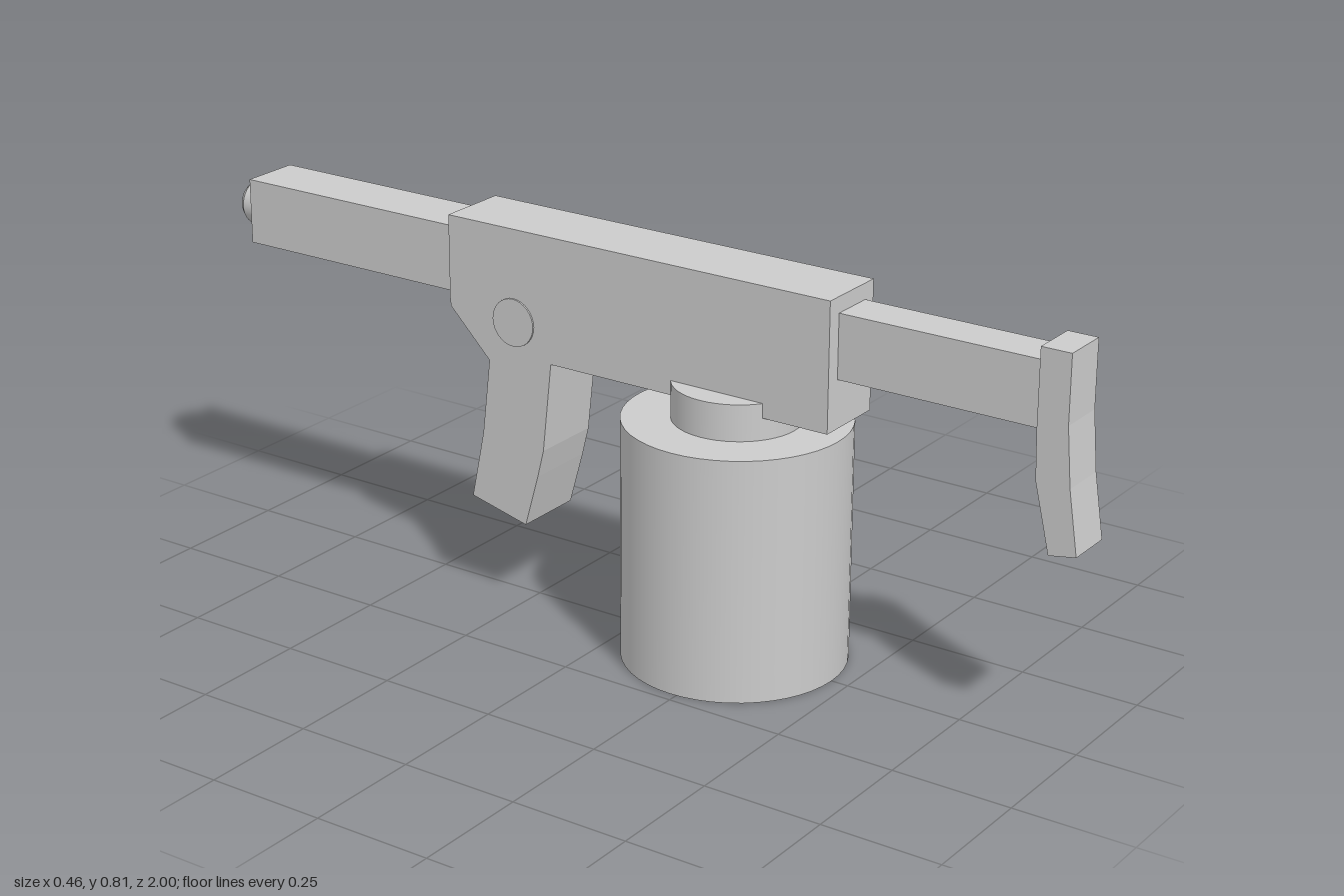
import * as THREE from 'three';

const material = new THREE.MeshStandardMaterial({ color: 0xcccccc });

export function createModel() {
  const group = new THREE.Group();

  const add = (name, geometry) => {
    const mesh = new THREE.Mesh(geometry, material);
    mesh.name = name;
    group.add(mesh);
    return mesh;
  };

  // Side profile of [z, y] points, extruded across x from x0 to x1
  const slab = (name, points, x0, x1) => {
    const shape = new THREE.Shape(points.map(([z, y]) => new THREE.Vector2(-z, y)));
    const geometry = new THREE.ExtrudeGeometry(shape, { depth: x1 - x0, bevelEnabled: false });
    return add(name, geometry.rotateY(Math.PI / 2).translate(x0, 0, 0));
  };

  const box = (name, x0, x1, y0, y1, z0, z1) =>
    add(name, new THREE.BoxGeometry(x1 - x0, y1 - y0, z1 - z0)
      .translate((x0 + x1) / 2, (y0 + y1) / 2, (z0 + z1) / 2));

  const drum = (name, radius, y0, y1) =>
    add(name, new THREE.CylinderGeometry(radius, radius, y1 - y0, 48)
      .translate(0, (y0 + y1) / 2, 0.235));

  // Main body, with a step under its rear end
  slab('body', [
    [0.485, 0.55], [0.485, 0.815], [-0.41, 0.815], [-0.41, 0.63],
    [-0.312, 0.63], [-0.312, 0.55],
  ], -0.075, 0.079);

  // Canister hanging below on a short neck
  drum('canister', 0.228, 0, 0.505);
  drum('canisterNeck', 0.13, 0.5, 0.58);

  // Bent hand grip and the wedge behind it
  slab('grip', [
    [-0.158, 0.56], [-0.18, 0.36], [-0.195, 0.3], [-0.227, 0.187],
    [-0.362, 0.22], [-0.332, 0.364], [-0.313, 0.524], [-0.313, 0.56],
  ], -0.075, 0.079);
  slab('gripWedge', [[-0.3, 0.51], [-0.313, 0.524], [-0.41, 0.622], [-0.41, 0.632], [-0.3, 0.632]],
    -0.073, 0.077);

  // Pivot disc showing just proud of both sides
  add('pivot', new THREE.CylinderGeometry(0.05, 0.05, 0.161, 32)
    .rotateZ(Math.PI / 2).translate(0.002, 0.62, -0.25));

  // Square bars running out of each end
  box('rearBar', -0.062, 0.066, 0.65, 0.788, -0.95, -0.4);
  box('frontBar', -0.043, 0.05, 0.65, 0.782, 0.475, 0.92);

  // Bent plate on the front bar
  slab('frontPlate', [
    [0.97, 0.808], [0.97, 0.67], [0.98, 0.55], [1, 0.42],
    [0.943, 0.41], [0.91, 0.55], [0.907, 0.65], [0.907, 0.808],
  ], -0.047, 0.054);

  // Round nozzle with a stepped rim and a shallow recess
  const nozzle = [[0.047, 0], [0.047, 0.037], [0.037, 0.05], [0.026, 0.05], [0.026, 0.035], [0, 0.035]];
  const rings = [];
  for (let i = 0; i < nozzle.length - 1; i++) {
    rings.push([nozzle[i], nozzle[i + 1]]);
  }
  rings.forEach((pair, i) => {
    const points = pair.map(([r, h]) => new THREE.Vector2(r, h));
    add('nozzle' + (i + 1), new THREE.LatheGeometry(points, 32)
      .rotateX(-Math.PI / 2).translate(0.002, 0.718, -0.95));
  });

  return group;
}
